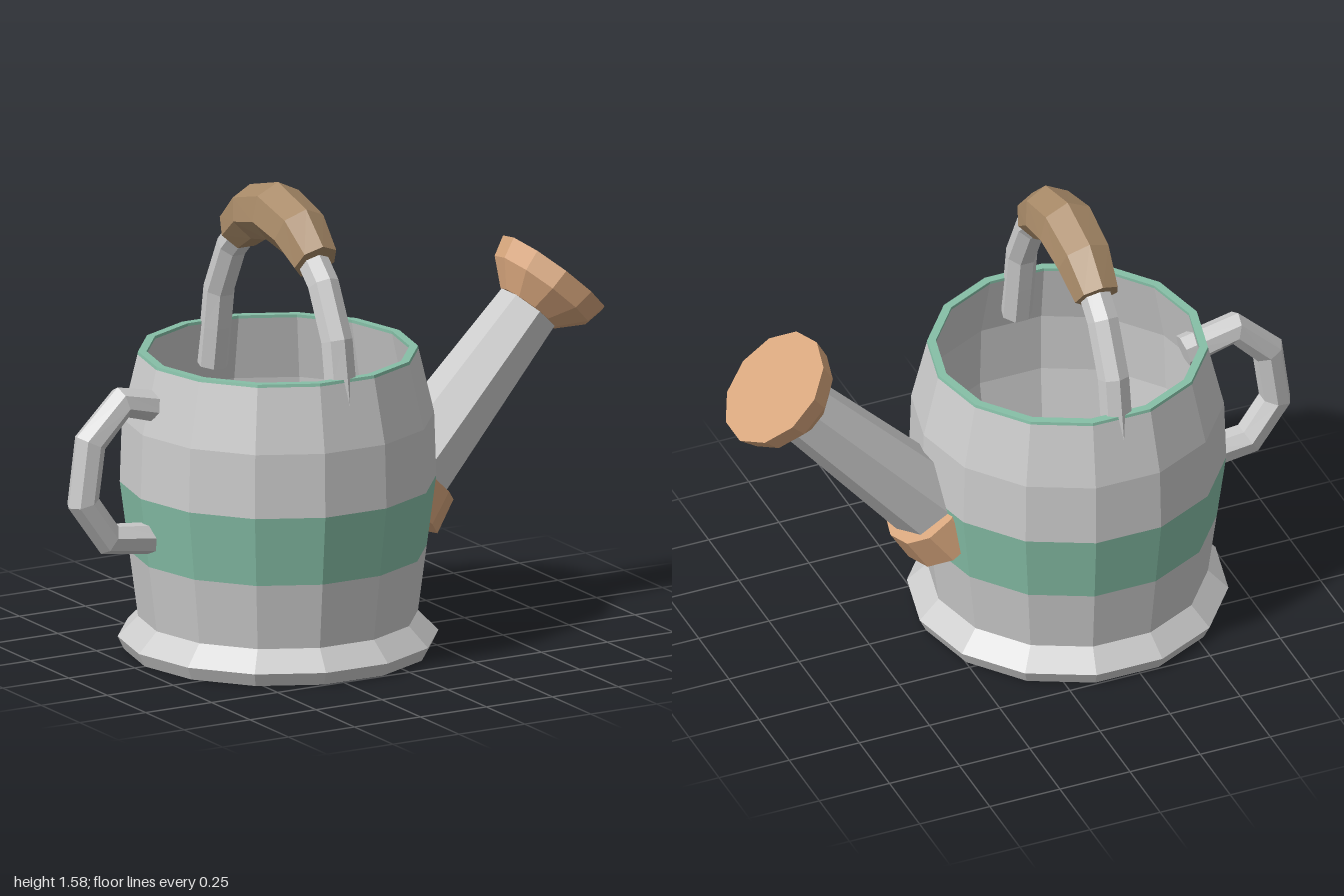
import * as THREE from 'three';

const mat = (color) => new THREE.MeshStandardMaterial({ color, flatShading: true });
const metal = mat(0xcccccc);
const green = mat(0x86bfa7);
const copper = mat(0xd6a57c);
const wood = mat(0xa88a68);

function part(name, geometry, material, parent) {
  const mesh = new THREE.Mesh(geometry, material);
  mesh.name = name;
  parent.add(mesh);
  return mesh;
}

// Faceted solid of revolution from [radius, height] pairs, first corner at angle phi
function turned(profile, sides, phi = Math.PI / 2) {
  return new THREE.LatheGeometry(profile.map(([r, y]) => new THREE.Vector2(r, y)), sides, phi);
}

// Capped tube along [x, y, radius] stations in the XY plane, with a corner on its left-hand side
function sweep(stations, sides) {
  const pos = [], index = [];
  const last = stations.length - 1;
  stations.forEach(([x, y, r], i) => {
    const p = new THREE.Vector2(x, y);
    const dirTo = (j) => new THREE.Vector2(stations[j][0], stations[j][1]).sub(p).normalize();
    const t = new THREE.Vector2();
    if (i < last) t.add(dirTo(i + 1));
    if (i > 0) t.sub(dirTo(i - 1));
    t.normalize();
    for (let k = 0; k < sides; k++) {
      const a = (k / sides) * Math.PI * 2;
      const c = Math.cos(a) * r;
      pos.push(x - t.y * c, y + t.x * c, Math.sin(a) * r);
    }
  });
  for (let i = 0; i < last; i++) {
    for (let k = 0; k < sides; k++) {
      const a = i * sides + k, b = i * sides + (k + 1) % sides;
      index.push(a, b, b + sides, a, b + sides, a + sides);
    }
  }
  const end = last * sides;
  for (let k = 1; k < sides - 1; k++) {
    index.push(0, k + 1, k, end, end + k, end + k + 1);
  }
  const g = new THREE.BufferGeometry();
  g.setAttribute('position', new THREE.Float32BufferAttribute(pos, 3));
  g.setIndex(index);
  g.computeVertexNormals();
  return g;
}

// Mirrors half an arch (left foot up to the crown) to the other side
function arch(half) {
  const right = half.slice(0, -1).reverse().map(([x, y, r]) => [-x, y, r]);
  return [...half, ...right];
}

export function createModel() {
  const model = new THREE.Group();
  model.name = 'wateringCan';

  // Hollow body with a flared foot, a painted band and a painted rim
  const body = new THREE.Group();
  body.name = 'body';
  body.position.x = -0.207;
  model.add(body);
  const sides = 14;
  part('foot', turned([[0, 0], [0.505, 0], [0.527, 0.045], [0.46, 0.113]], sides), metal, body);
  part('lowerWall', turned([[0.46, 0.113], [0.489, 0.335]], sides), metal, body);
  part('band', turned([[0.489, 0.335], [0.52, 0.57]], sides), green, body);
  part('upperWall', turned([[0.52, 0.57], [0.513, 0.785], [0.462, 1.0]], sides), metal, body);
  part('rim', turned([[0.462, 1.0], [0.46, 1.01], [0.432, 1.01], [0.432, 1.0]], sides), green, body);
  part('innerWall', turned([[0.432, 1.0], [0.48, 0.785], [0.488, 0.57], [0.455, 0.335],
    [0.42, 0.1], [0, 0.1]], sides), metal, body);

  // Slanted spout with its collar and rose
  const spout = new THREE.Group();
  spout.name = 'spoutAssembly';
  spout.position.set(0.04, 0.249, 0);
  spout.rotation.z = -0.74;
  model.add(spout);
  part('spout', turned([[0, 0], [0.16, 0], [0.108, 1.07], [0, 1.07]], 7), metal, spout);
  part('collar', turned([[0, 0.262], [0.193, 0.262], [0.17, 0.384], [0, 0.384]], 11), copper, spout);
  part('rose', turned([[0, 1.04], [0.112, 1.04], [0.19, 1.115], [0.207, 1.186], [0, 1.186]],
    11, -Math.PI / 2), copper, spout);

  // Carrying handle arching from front to back, with a thick grip
  const carry = new THREE.Group();
  carry.name = 'carryHandle';
  carry.position.x = -0.207;
  carry.rotation.y = Math.PI / 2;
  model.add(carry);
  part('carryTube', sweep(arch([[-0.425, 0.86, 0.053], [-0.402, 1.0, 0.053], [-0.382, 1.125, 0.053],
    [-0.295, 1.295, 0.053], [-0.15, 1.43, 0.053], [0, 1.47, 0.053]]), 7), metal, carry);
  part('grip', sweep(arch([[-0.247, 1.362, 0.077], [-0.143, 1.44, 0.094], [0, 1.475, 0.1]]), 7), wood, carry);

  // Side handle opposite the spout
  part('sideHandle', sweep([[-0.63, 0.425, 0.055], [-0.85, 0.452, 0.055], [-0.947, 0.588, 0.055],
    [-0.92, 0.788, 0.055], [-0.8, 0.908, 0.055], [-0.62, 0.865, 0.055]], 7), metal, model);

  return model;
}
